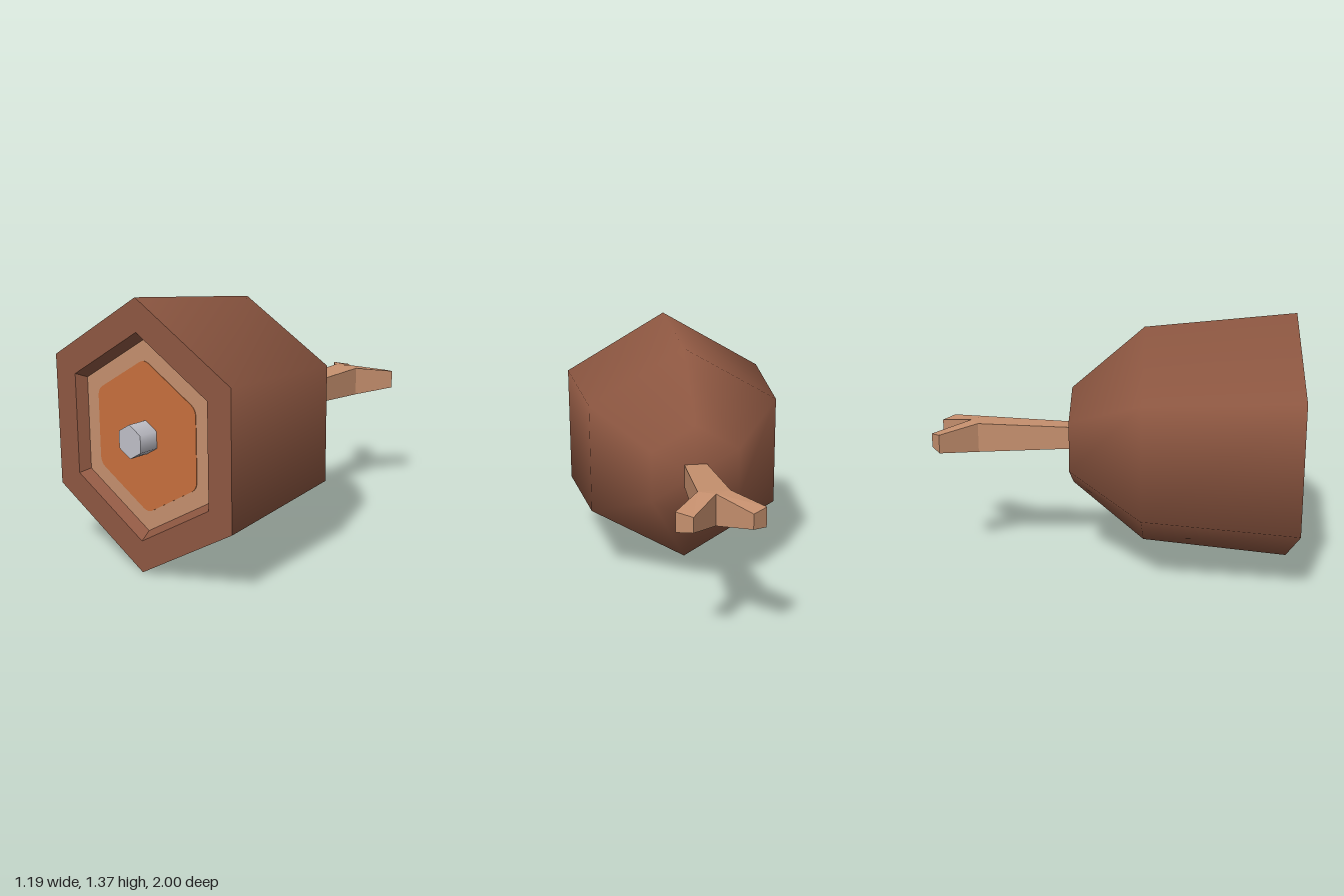
import * as THREE from 'three';

const CY = 0.69; // height of the body's axis
const material = (name, color, side = THREE.FrontSide) => {
  const m = new THREE.MeshStandardMaterial({ color, side });
  m.name = name;
  return m;
};

// Six-sided turned form along z; profile points are [radius, z]
function hexTurn(profile, smooth) {
  let g = new THREE.LatheGeometry(profile.map(([r, z]) => new THREE.Vector2(r, z)), 6);
  g.rotateX(Math.PI / 2);
  if (!smooth) {
    g = g.toNonIndexed();
    g.computeVertexNormals();
  }
  return g;
}

// Pointy-topped hexagon with rounded corners
function roundedHex(radius, round) {
  const pts = [];
  for (let i = 0; i < 6; i++) {
    const a = Math.PI / 2 + i * Math.PI / 3;
    pts.push(new THREE.Vector2(Math.cos(a) * radius, Math.sin(a) * radius));
  }
  const shape = new THREE.Shape();
  pts.forEach((p, i) => {
    const a = p.clone().lerp(pts[(i + 5) % 6], round);
    const b = p.clone().lerp(pts[(i + 1) % 6], round);
    if (i === 0) shape.moveTo(a.x, a.y);
    else shape.lineTo(a.x, a.y);
    shape.quadraticCurveTo(p.x, p.y, b.x, b.y);
  });
  shape.closePath();
  return shape;
}

// Forked twig: flat Y outline, with its thickness varying along z
function forkGeometry() {
  const half = [[0.06, 0.245], [0.08, 0.76], [0.215, 0.945], [0.14, 1.0]];
  const outline = [...half, [0, 0.81], ...half.map(([x, s]) => [-x, s]).reverse()];
  const shape = new THREE.Shape(outline.map(([x, s]) => new THREE.Vector2(x, s)));
  let g = new THREE.ExtrudeGeometry(shape, { depth: 2, bevelEnabled: false });
  g.translate(0, 0, -1);
  g.rotateX(-Math.PI / 2);
  const p = g.attributes.position;
  for (let i = 0; i < p.count; i++) {
    const s = -p.getZ(i);
    const h = s < 0.76
      ? THREE.MathUtils.mapLinear(s, 0.245, 0.76, 0.06, 0.08)
      : THREE.MathUtils.mapLinear(Math.max(s, 0.81), 0.81, 1, 0.08, 0.038);
    p.setY(i, Math.sign(p.getY(i)) * h);
  }
  g.computeVertexNormals();
  return g;
}

export function createModel() {
  const group = new THREE.Group();
  const bark = material('brown bark', 0x8f5842);
  const wood = material('pale wood', 0xc6906e);
  const orange = material('orange centre', 0xc8703d);
  const metal = material('grey metal', 0xc0c0c8);

  const add = (name, geometry, mat) => {
    const mesh = new THREE.Mesh(geometry, mat);
    mesh.name = name;
    mesh.position.y = CY;
    group.add(mesh);
  };

  // Shell, softly shaded across its back
  add('shell', hexTurn([[0, -0.25], [0.27, -0.25], [0.605, 0.14], [0.685, 0.94]], true), bark);
  // Flat front rim and the recess inside it
  add('rim', hexTurn([[0.685, 0.94], [0.52, 0.94]], false), bark);
  add('recessWall', hexTurn([[0.52, 0.94], [0.48, 0.89]], false), bark);
  add('recessFloor', hexTurn([[0.48, 0.89], [0, 0.89]], false), wood);

  // Thin coloured centre on the floor
  const plate = new THREE.ExtrudeGeometry(roundedHex(0.385, 0.1), { depth: 0.004, bevelEnabled: false });
  plate.translate(0, 0, 0.889);
  add('centrePlate', plate, orange);

  // Peg standing out of the centre
  add('pegSide', hexTurn([[0.085, 0.885], [0.085, 1]], true), metal);
  add('pegFace', hexTurn([[0.085, 1], [0, 1]], false), metal);

  // Forked twig at the back
  add('forkedTwig', forkGeometry(), wood);
  return group;
}
